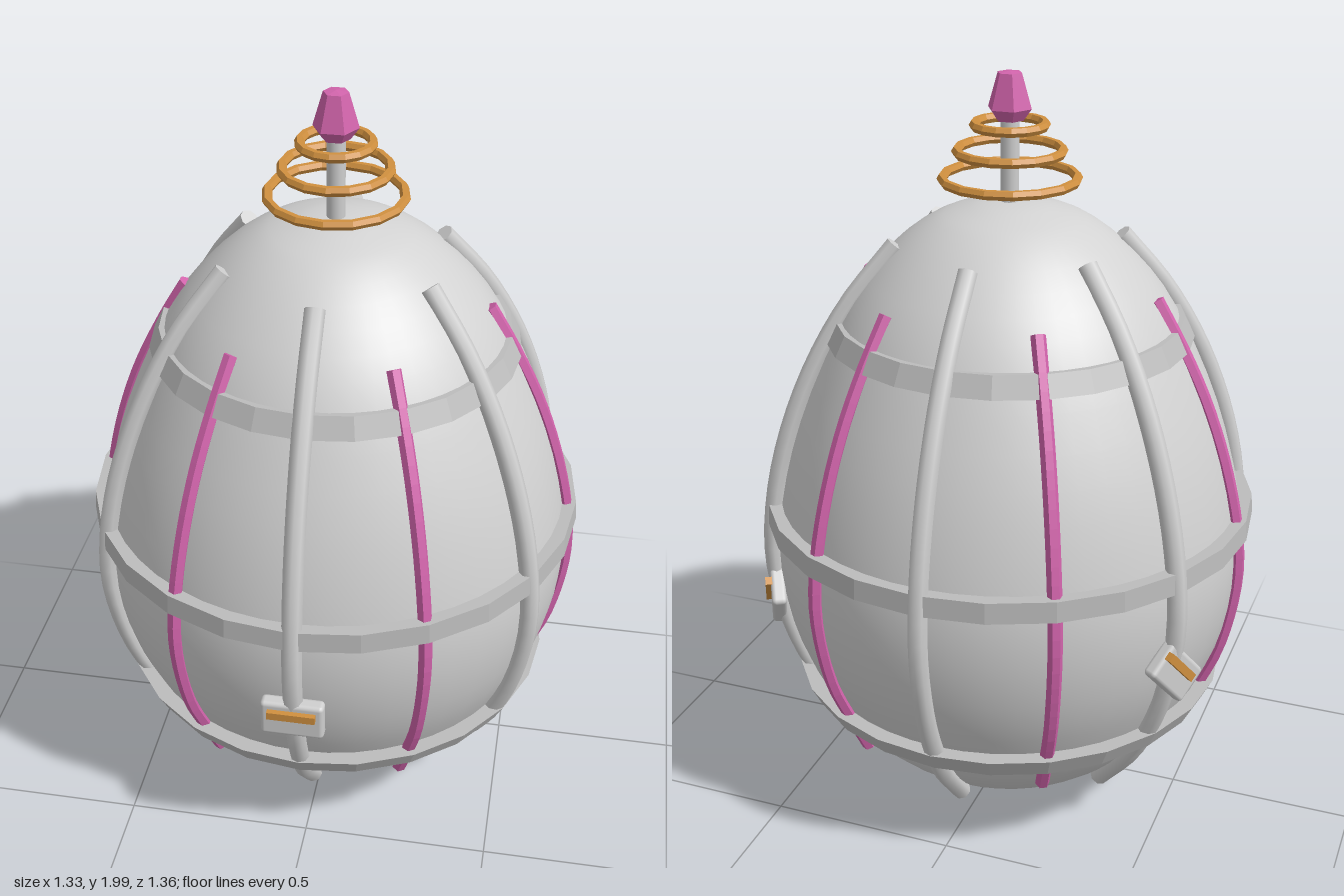
import * as THREE from 'three';
import { mergeGeometries } from 'three/addons/utils/BufferGeometryUtils.js';
import { RoundedBoxGeometry } from 'three/addons/geometries/RoundedBoxGeometry.js';

const mat = (name, color, flatShading = false) => {
  const m = new THREE.MeshStandardMaterial({ color, flatShading });
  m.name = name;
  return m;
};

export function createModel() {
  const root = new THREE.Group();
  const shellGrey = mat('shell grey', 0xd2d2d2);
  const ribGrey = mat('rib grey', 0xcfcfcf);
  const bandGrey = mat('band grey', 0xbcbcbc, true);
  const pink = mat('pink', 0xd264ac, true);
  const gold = mat('gold', 0xd0903f, true);

  const add = (name, geometry, material, parent = root) => {
    const mesh = new THREE.Mesh(geometry, material);
    mesh.name = name;
    parent.add(mesh);
    return mesh;
  };
  const v2 = (pts) => pts.map(([x, y]) => new THREE.Vector2(x, y));

  // Egg-shaped shell
  const profile = new THREE.SplineCurve(v2([
    [0, 0.01], [0.12, 0.017], [0.23, 0.042], [0.35, 0.108], [0.45, 0.2], [0.505, 0.275],
    [0.552, 0.365], [0.6, 0.48], [0.63, 0.61], [0.638, 0.74], [0.624, 0.87], [0.587, 1.03],
    [0.53, 1.19], [0.445, 1.37], [0.37, 1.48], [0.28, 1.572], [0.2, 1.627], [0.14, 1.65],
    [0.07, 1.668], [0, 1.672],
  ])).getPoints(38);
  profile.forEach((p) => { p.x = Math.max(p.x, 0); });
  add('eggShell', new THREE.LatheGeometry(profile, 48), shellGrey);

  // Horizontal bands: [y bottom, outer radius bottom, y top, outer radius top]
  [[0.312, 0.57, 0.366, 0.597], [0.815, 0.664, 0.87, 0.66], [1.32, 0.485, 1.374, 0.458]].forEach(
    ([y0, r0, y1, r1]) => {
      const ring = v2([[r0 - 0.07, y0], [r0, y0], [r1, y1], [r1 - 0.07, y1]]);
      add('band', new THREE.LatheGeometry(ring, 24), bandGrey);
    });

  // Capped tube that follows the shell from bottom to top
  const ribGeometry = (pts, radius, sides) => {
    const curve = new THREE.CatmullRomCurve3(pts.map(([r, y]) => new THREE.Vector3(0, y, r)));
    const parts = [new THREE.TubeGeometry(curve, 28, radius, sides)];
    [0, 1].forEach((t) => {
      const dir = curve.getTangent(t).multiplyScalar(t ? 1 : -1);
      const cap = new THREE.CircleGeometry(radius, sides);
      cap.applyQuaternion(new THREE.Quaternion().setFromUnitVectors(new THREE.Vector3(0, 0, 1), dir));
      const end = curve.getPoint(t);
      cap.translate(end.x, end.y, end.z);
      parts.push(cap);
    });
    return mergeGeometries(parts);
  };
  const wideRib = ribGeometry([
    [0.385, 0.115], [0.52, 0.28], [0.605, 0.46], [0.65, 0.68], [0.643, 0.85],
    [0.602, 1.04], [0.525, 1.24], [0.42, 1.42], [0.295, 1.57],
  ], 0.026, 8);
  const slimRib = ribGeometry([
    [0.5, 0.235], [0.558, 0.36], [0.607, 0.48], [0.643, 0.68], [0.638, 0.82],
    [0.6, 1.0], [0.538, 1.18], [0.465, 1.33], [0.395, 1.45],
  ], 0.019, 6);
  for (let i = 0; i < 6; i++) {
    add('wideRib', wideRib, ribGrey).rotation.y = i * Math.PI / 3;
    add('slimRib', slimRib, pink).rotation.y = (i + 0.5) * Math.PI / 3;
  }

  // Clasps on three of the wide ribs, the rear pair tilted as a mirrored pair
  [[0, 0], [1, 0.84], [-1, -0.84]].forEach(([side, tilt]) => {
    const clasp = new THREE.Group();
    clasp.name = 'clasp';
    clasp.rotation.y = side * Math.PI * 2 / 3;
    root.add(clasp);
    const plate = add('claspPlate', new RoundedBoxGeometry(0.164, 0.106, 0.04, 2, 0.012), ribGrey, clasp);
    plate.position.set(0, 0.583, 0.648);
    plate.rotation.z = tilt;
    const bar = add('claspBar', new THREE.BoxGeometry(0.124, 0.022, 0.03), gold, clasp);
    bar.position.set(0, 0.606, 0.667);
    bar.rotation.z = tilt;
  });

  // Antenna stem with shrinking rings
  add('antennaStem', new THREE.CylinderGeometry(0.024, 0.024, 0.25, 12), ribGrey).position.y = 1.775;
  [[1.73, 0.173], [1.8, 0.135], [1.866, 0.09]].forEach(([y, r]) => {
    const ring = add('antennaRing', new THREE.TorusGeometry(r, 0.013, 6, 16), gold);
    ring.position.y = y;
    ring.rotation.x = Math.PI / 2;
  });

  // Six-sided gem at the tip
  const gem = add('gemTip', new THREE.LatheGeometry(
    v2([[0, 1.878], [0.036, 1.878], [0.058, 1.908], [0.032, 1.996], [0, 2.0]]), 6), pink);
  gem.rotation.y = Math.PI / 2;

  return root;
}
